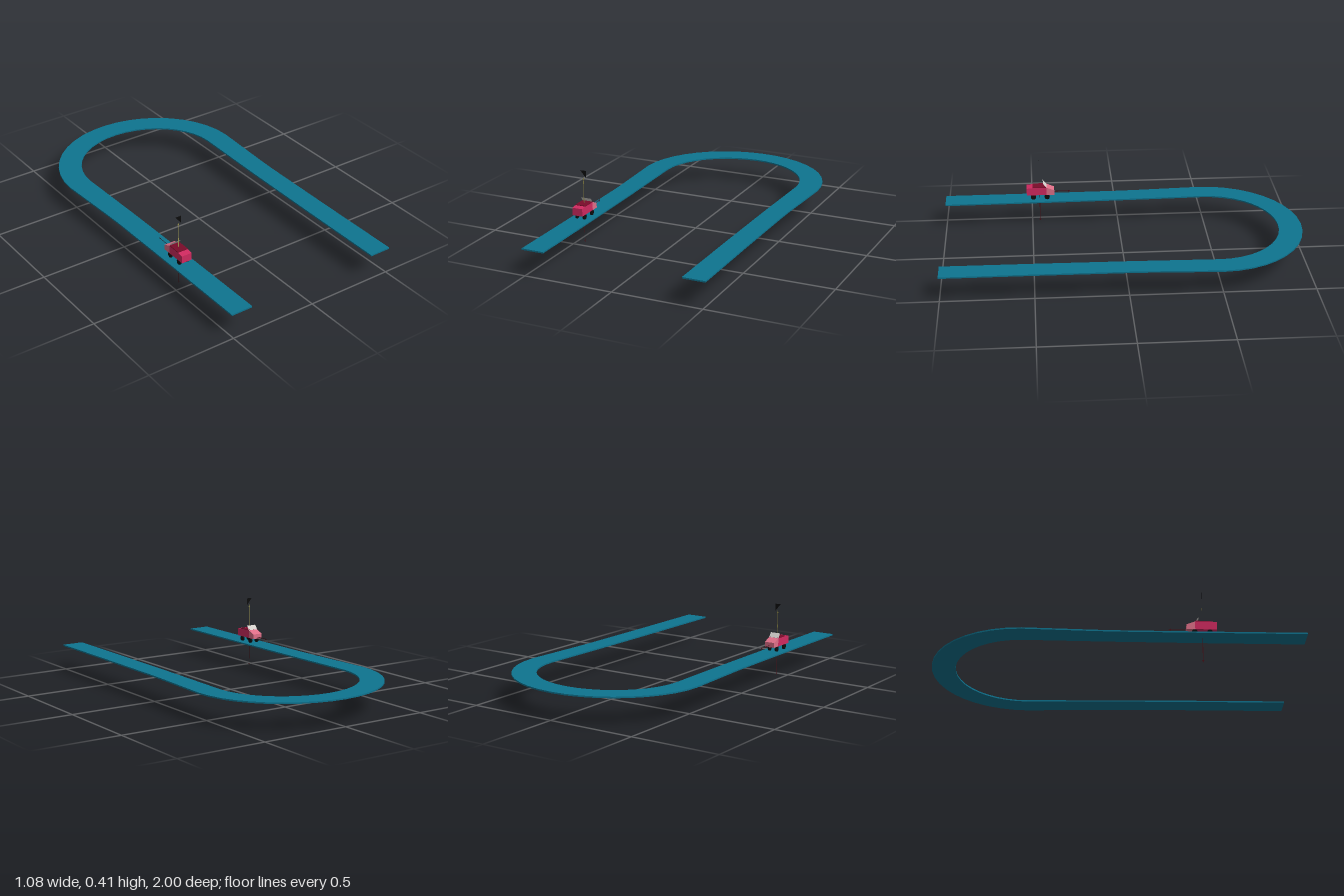
import * as THREE from 'three';

const mat = (name, color, side = THREE.FrontSide) => {
  const m = new THREE.MeshStandardMaterial({ color, side });
  m.name = name;
  return m;
};

export function createModel() {
  const model = new THREE.Group();
  const teal = mat('track teal', 0x0e7490);
  const crimson = mat('body crimson', 0xd02a60);
  const pink = mat('hood pink', 0xdf6f88);
  const maroon = mat('bed maroon', 0x7a0c2a);
  const black = mat('black', 0x0c0c0c, THREE.DoubleSide);
  const glass = mat('windshield grey', 0xd6d2ce, THREE.DoubleSide);
  const khaki = mat('mast khaki', 0x9a9450, THREE.DoubleSide);
  const darkRed = mat('pointer dark red', 0x451018, THREE.DoubleSide);
  const carX = -0.452, carW = 0.06, mastZ = 0.455;

  const add = (parent, name, geometry, material) => {
    const mesh = new THREE.Mesh(geometry, material);
    mesh.name = name;
    parent.add(mesh);
    return mesh;
  };
  const shapeOf = pts => new THREE.Shape(pts.map(p => new THREE.Vector2(p[0], p[1])));

  // Track: U-shaped ribbon, each edge a slightly flared straight and half an ellipse
  const edge = (straight, rx, rz) => {
    const right = straight.map(([x, z]) => [x, -z]);
    const arc = [];
    for (let i = 0; i <= 20; i++) {
      const a = (i / 20) * Math.PI;
      arc.push([rx * Math.cos(a), 0.49 + rz * Math.sin(a)]);
    }
    const left = right.map(([x, y]) => [-x, y]).reverse();
    return [...right, ...arc, ...left];
  };
  const outer = edge([[0.513, 1], [0.514, 0.5], [0.518, 0], [0.521, -0.1]], 0.54, 0.51);
  const inner = edge([[0.388, 1], [0.391, 0.5], [0.397, 0], [0.399, -0.1]], 0.408, 0.38);
  const ribbon = new THREE.ExtrudeGeometry(shapeOf([...outer, ...inner.reverse()]),
    { depth: 0.008, bevelEnabled: false });
  ribbon.rotateX(-Math.PI / 2).translate(0, 0.141, 0);
  add(model, 'track', ribbon, teal);

  // Vehicle: side profiles in (z, y) extruded across its width
  const car = new THREE.Group();
  car.name = 'vehicle';
  car.position.x = carX;
  model.add(car);
  const profile = (name, pts, width, material) => {
    const g = new THREE.ExtrudeGeometry(shapeOf(pts), { depth: width, bevelEnabled: false });
    g.rotateY(-Math.PI / 2).translate(width / 2, 0, 0);
    return add(car, name, g, material);
  };
  profile('body', [[0.415, 0.178], [0.53, 0.178], [0.53, 0.22], [0.495, 0.224], [0.415, 0.224]], carW, crimson);
  profile('hood', [[0.37, 0.178], [0.415, 0.178], [0.415, 0.224], [0.37, 0.206]], carW, pink);
  const bed = add(car, 'bed', new THREE.BoxGeometry(carW, 0.004, 0.078), maroon);
  bed.position.set(0, 0.2255, 0.456);

  // Windshield leaning back from the hood
  const shield = add(car, 'windshield', new THREE.PlaneGeometry(carW, 0.032), glass);
  shield.position.set(0, 0.237, 0.425);
  shield.rotation.x = Math.atan2(0.02, 0.025);

  // Wheels
  for (const x of [-0.0225, 0.0225]) {
    for (const z of [0.412, 0.492]) {
      const wheel = add(car, 'wheel', new THREE.CylinderGeometry(0.015, 0.015, 0.009, 16), black);
      wheel.rotation.z = Math.PI / 2;
      wheel.position.set(x, 0.164, z);
    }
  }

  // Flat arrows, drawn pointing up from the origin
  const arrow = (name, length, material) => {
    const w = 0.0018, h = 0.006, y = length - 0.014;
    return add(car, name, new THREE.ShapeGeometry(shapeOf(
      [[-w, 0], [w, 0], [w, y], [h, y], [0, length], [-h, y], [-w, y]])), material);
  };
  const mast = arrow('mast', 0.147, khaki);
  mast.position.set(0, 0.226, mastZ);
  const lower = arrow('lowerPointer', 0.178, darkRed);
  lower.position.set(0, 0.178, mastZ);
  lower.rotation.set(Math.PI, Math.PI / 2, 0);
  const forward = arrow('forwardPointer', 0.095, darkRed);
  forward.position.set(0, 0.188, 0.37);
  forward.rotation.set(-Math.PI / 2, Math.PI / 2, 0);

  // Triangular flag above the mast
  const flag = add(car, 'flag', new THREE.ShapeGeometry(
    shapeOf([[-0.018, 0.411], [0.016, 0.37], [0.016, 0.411]])), black);
  flag.position.z = mastZ;

  return model;
}
